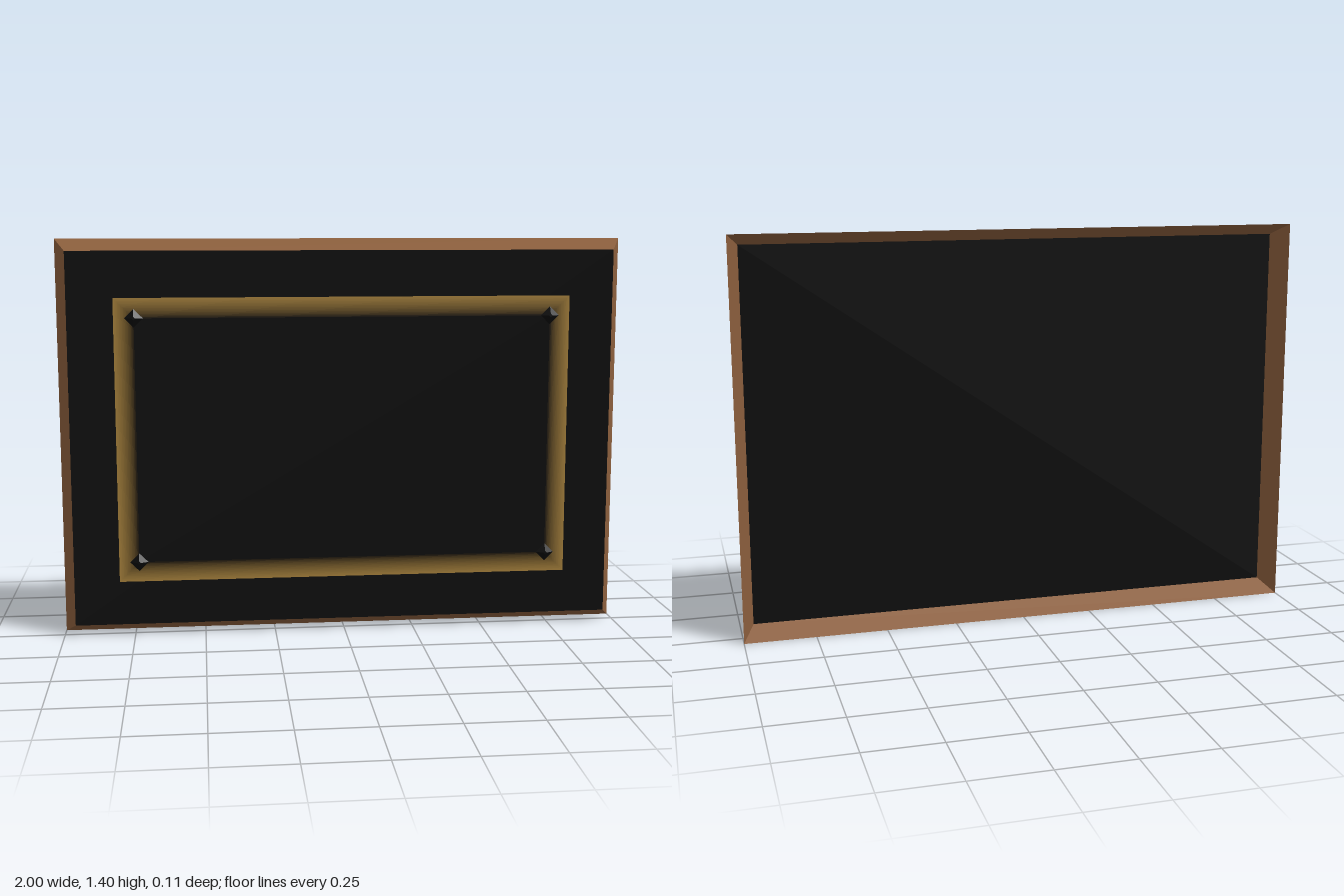
import * as THREE from 'three';

const CENTER_Y = 0.7;
const material = (color) => new THREE.MeshStandardMaterial({ color, side: THREE.DoubleSide, flatShading: true });

// Four-sided band joining two centred rectangles, each { w, h, z } in half sizes
function rectBand(outer, inner) {
  const corners = (r) => [[-1, -1], [1, -1], [1, 1], [-1, 1]].map(([x, y]) => [x * r.w, y * r.h, r.z]);
  const a = corners(outer), b = corners(inner);
  const points = [];
  for (let i = 0; i < 4; i++) {
    const j = (i + 1) % 4;
    points.push(...a[i], ...a[j], ...b[j], ...a[i], ...b[j], ...b[i]);
  }
  const geometry = new THREE.BufferGeometry();
  geometry.setAttribute('position', new THREE.Float32BufferAttribute(points, 3));
  geometry.computeVertexNormals();
  return geometry;
}

export function createModel() {
  const group = new THREE.Group();
  const wood = material(0x8b5e3c);
  const black = material(0x0a0a0a);

  function add(name, geometry, mat, x = 0, y = 0, z = 0, parent = group) {
    const mesh = new THREE.Mesh(geometry, mat);
    mesh.name = name;
    mesh.position.set(x, y + (parent === group ? CENTER_Y : 0), z);
    parent.add(mesh);
    return mesh;
  }

  // Sloping wooden rim, open at the back
  const back = { w: 1, h: 0.7, z: -0.055 };
  const front = { w: 0.96, h: 0.66, z: 0.025 };
  add('woodenRim', rectBand(back, front), wood);
  add('backingPanel', new THREE.PlaneGeometry(front.w * 2, front.h * 2), black, 0, 0, front.z);

  // Raised plate: dark edge and dark centre
  const plateZ = 0.041, fade = 0.07;
  add('plateEdge', rectBand({ w: 0.8, h: 0.5, z: front.z }, { w: 0.8, h: 0.5, z: plateZ }), black);
  add('plateCentre', new THREE.PlaneGeometry(2 * (0.8 - fade), 2 * (0.5 - fade)), black, 0, 0, plateZ);

  // Gold border fading to black in fine mitred steps
  const border = new THREE.Group();
  border.name = 'goldBorder';
  border.position.y = CENTER_Y;
  group.add(border);
  const steps = 14;
  const gold = new THREE.Color(0xa8823c), dark = new THREE.Color(0x0a0a0a);
  for (let i = 0; i < steps; i++) {
    const rect = (k) => ({ w: 0.8 - fade * k / steps, h: 0.5 - fade * k / steps, z: plateZ });
    const color = gold.clone().lerp(dark, (i + 0.5) / steps);
    add('goldBand' + (i + 1), rectBand(rect(i), rect(i + 1)), material(color), 0, 0, 0, border);
  }

  // Blunt diamond studs in the plate corners
  const stud = new THREE.CylinderGeometry(0.006, 0.032, 0.014, 4).rotateX(Math.PI / 2);
  for (const x of [-0.73, 0.73]) {
    for (const y of [-0.43, 0.43]) add('cornerStud', stud, black, x, y, plateZ + 0.007);
  }

  return group;
}
